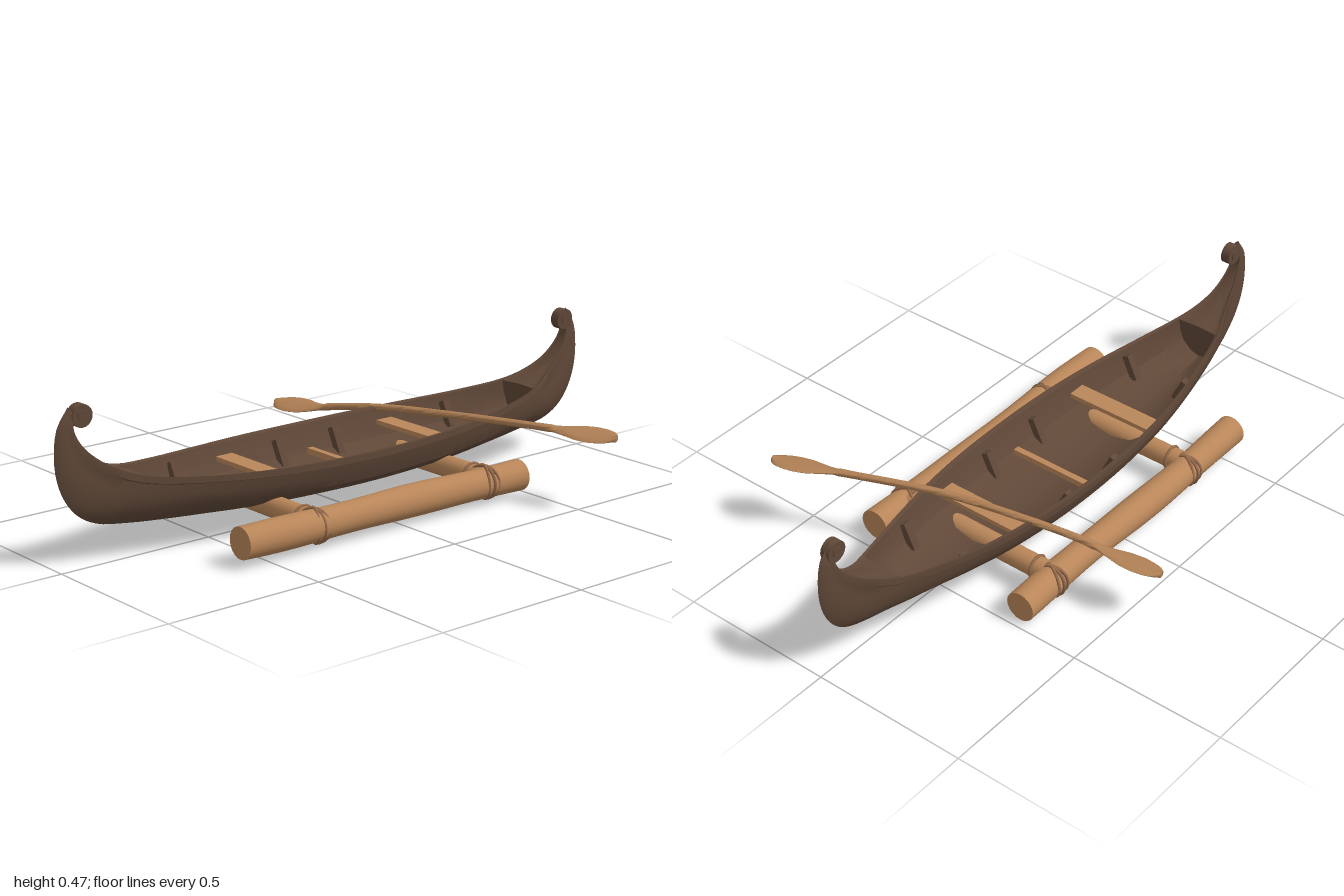
import * as THREE from 'three';
import { toCreasedNormals } from 'three/addons/utils/BufferGeometryUtils.js';

const V = (x, y, z) => new THREE.Vector3(x, y, z);
const HULL_Z = -0.017;

// Skin a list of equal-length rings (counterclockwise seen from the far end) and cap both ends
function loft(rings, crease = 0.6) {
  const n = rings[0].length, pos = [], idx = [];
  rings.forEach(r => r.forEach(p => pos.push(p.x, p.y, p.z)));
  for (let i = 0; i < rings.length - 1; i++) {
    for (let j = 0; j < n; j++) {
      const a = i * n + j, b = i * n + (j + 1) % n;
      idx.push(a, b, a + n, b, b + n, a + n);
    }
  }
  [0, rings.length - 1].forEach((r, end) => {
    const c = pos.length / 3;
    const mid = rings[r].reduce((s, p) => s.add(p), V(0, 0, 0)).divideScalar(n);
    pos.push(mid.x, mid.y, mid.z);
    for (let j = 0; j < n; j++) {
      const a = r * n + j, b = r * n + (j + 1) % n;
      if (end) idx.push(c, a, b); else idx.push(c, b, a);
    }
  });
  const g = new THREE.BufferGeometry();
  g.setAttribute('position', new THREE.Float32BufferAttribute(pos, 3));
  g.setIndex(idx);
  return toCreasedNormals(g, crease);
}

// Half-hull stations: rim x, rim y, half width, keel x, keel y
const STATIONS = [
  [0, 0.205, 0.198, 0, 0.047], [0.2, 0.207, 0.191, 0.2, 0.05],
  [0.4, 0.212, 0.166, 0.4, 0.058], [0.6, 0.224, 0.121, 0.61, 0.075],
  [0.745, 0.243, 0.078, 0.77, 0.093], [0.81, 0.266, 0.052, 0.87, 0.112],
  [0.87, 0.3, 0.032, 0.935, 0.15], [0.918, 0.345, 0.021, 0.98, 0.215],
  [0.94, 0.385, 0.016, 1, 0.3], [0.943, 0.415, 0.014, 0.99, 0.4],
  [0.932, 0.43, 0.013, 0.952, 0.459],
];
// Cross-section as (fraction of half width, fraction of height)
const INNER = [[0, 0.16], [0.4, 0.24], [0.74, 0.46], [0.86, 0.74], [0.91, 0.98]];
const DECK = [[0, 0.99], [0.3, 0.985], [0.6, 0.975], [0.8, 0.97], [0.91, 0.98]];
const OUTER = [[1, 1], [1, 0.87], [0.955, 0.85], [0.91, 0.66], [0.82, 0.43], [0.55, 0.22], [0.28, 0.09], [0, 0]];

function hullGeometry() {
  const all = [];
  for (let k = -10; k <= 10; k++) {
    const s = STATIONS[Math.abs(k)], m = Math.sign(k);
    all.push([m * s[0], s[1], s[2], m * s[3], s[4]]);
  }
  const rim = new THREE.CatmullRomCurve3(all.map(s => V(s[0], s[1], s[2])));
  const keel = new THREE.CatmullRomCurve3(all.map(s => V(s[3], s[4], 0)));
  const ring = (k, open) => {
    const t = (k + 10) / 20, r = rim.getPoint(t), q = keel.getPoint(t);
    const half = [...(open ? INNER : DECK), ...OUTER].map(([a, f]) =>
      V(q.x + (r.x - q.x) * f, q.y + (r.y - q.y) * f, r.z * a));
    const other = half.slice(1, -1).reverse().map(p => V(p.x, p.y, -p.z));
    return [...half, ...other];
  };
  const rings = [];
  for (let i = -40; i <= 40; i++) {
    const k = i / 4;
    if (k === 4) rings.push(ring(3.97, true));
    rings.push(ring(k, Math.abs(k) < 4));
    if (k === -4) rings.push(ring(-3.97, true));
  }
  return loft(rings, 0.55);
}

// Slightly crooked log lying along x
function logGeometry(x0, x1, y0, y1, z, r, phase) {
  const rings = [];
  for (let i = 0; i <= 16; i++) {
    const t = i / 16, ring = [];
    const rr = r * (1 + 0.04 * Math.sin(t * 13 + phase));
    const zc = z + 0.004 * Math.sin(t * 8 + phase);
    for (let j = 0; j < 20; j++) {
      const a = j / 20 * Math.PI * 2;
      ring.push(V(x0 + (x1 - x0) * t, y0 + (y1 - y0) * t + rr * Math.cos(a), zc + rr * Math.sin(a)));
    }
    rings.push(ring);
  }
  return loft(rings, 0.8);
}

// Double-bladed paddle: ellipses swept along a bent shaft
function paddleGeometry() {
  const path = new THREE.CatmullRomCurve3([
    V(0.572, 0.222, 0.578), V(0.53, 0.222, 0.46), V(0.487, 0.224, 0.35), V(0.38, 0.222, 0.08),
    V(0.31, 0.208, -0.16), V(0.262, 0.187, -0.32), V(0.235, 0.166, -0.43), V(0.212, 0.157, -0.585),
  ]);
  // Half widths by distance from a blade tip
  const widths = [[0, 0.012], [0.012, 0.03], [0.04, 0.044], [0.08, 0.05], [0.12, 0.045], [0.17, 0.026], [0.21, 0.015], [0.26, 0.012], [2, 0.012]];
  const widthAt = d => {
    const i = widths.findIndex(w => w[0] > d), [a, b] = [widths[i - 1], widths[i]];
    return THREE.MathUtils.lerp(a[1], b[1], (d - a[0]) / (b[0] - a[0]));
  };
  const len = path.getLength(), rings = [];
  for (let i = 0; i <= 80; i++) {
    const t = i / 80, c = path.getPointAt(t), d = path.getTangentAt(t);
    const w = widthAt(Math.min(t, 1 - t) * len);
    const thick = w > 0.016 ? 0.007 : 0.011;
    const s = V(-0.25, 1, 0).cross(d).normalize(), u = d.clone().cross(s), ring = [];
    for (let j = 0; j < 14; j++) {
      const a = j / 14 * Math.PI * 2;
      ring.push(c.clone().addScaledVector(s, w * Math.cos(a)).addScaledVector(u, thick * Math.sin(a)));
    }
    rings.push(ring);
  }
  return loft(rings, 1.2);
}

export function createModel() {
  const group = new THREE.Group();
  const mat = (name, color) => {
    const m = new THREE.MeshStandardMaterial({ color });
    m.name = name;
    return m;
  };
  const darkWood = mat('dark hull wood', 0x604838);
  const paleWood = mat('pale log wood', 0xb98659);
  const paddleWood = mat('paddle wood', 0xb08055);
  const rope = mat('lashing rope', 0x94694a);
  const add = (name, geo, material, x = 0, y = 0, z = 0) => {
    const m = new THREE.Mesh(geo, material);
    m.name = name;
    m.position.set(x, y, z);
    group.add(m);
    return m;
  };

  // Hull with scrolled stems
  add('hull', hullGeometry(), darkWood, 0, 0, HULL_Z);
  for (const [name, x, y] of [['rightScroll', -0.914, 0.431], ['leftScroll', 0.934, 0.426]]) {
    const disc = new THREE.CylinderGeometry(0.033, 0.033, 0.03, 24).rotateX(Math.PI / 2);
    add(name, disc, darkWood, x, y, HULL_Z);
    const boss = new THREE.CylinderGeometry(0.016, 0.016, 0.038, 16).rotateX(Math.PI / 2);
    add(name + 'Boss', boss, darkWood, x, y, HULL_Z);
  }

  // Short ribs against the inner walls
  for (const [x, z, y] of [[0.11, 0.14, 0.14], [0.53, 0.097, 0.16]]) {
    for (const sx of [-1, 1]) for (const sz of [-1, 1]) {
      const rib = add('rib', new THREE.BoxGeometry(0.024, 0.085, 0.024), darkWood, sx * x, y, HULL_Z + sz * z);
      rib.rotation.x = sz * 0.45;
    }
  }

  // Seats and the narrow middle thwart
  for (const x of [-0.315, 0.31]) {
    add('seat', new THREE.BoxGeometry(0.06, 0.014, 0.3), paleWood, x, 0.165, HULL_Z);
  }
  add('thwart', new THREE.BoxGeometry(0.02, 0.018, 0.27), paleWood, 0, 0.13, HULL_Z);

  // Outrigger logs
  add('frontLog', logGeometry(-0.59, 0.47, 0.068, 0.06, 0.27, 0.048, 0), paleWood);
  add('backLog', logGeometry(-0.575, 0.475, 0.056, 0.05, -0.282, 0.046, 2), paleWood);

  // Cross beams and their lashings
  for (const x of [-0.325, 0.33]) {
    add('crossBeam', new THREE.CylinderGeometry(0.034, 0.034, 0.52, 20).rotateX(Math.PI / 2), paleWood, x, 0.075, -0.005);
    for (const [y, z] of [[0.064, 0.268], [0.054, -0.28]]) {
      for (const turn of [-0.4, 0, 0.4]) {
        const loop = add('lashing', new THREE.TorusGeometry(0.051, 0.005, 8, 28), rope, x, y, z);
        loop.rotation.y = Math.PI / 2 + turn;
      }
      add('beamLashing', new THREE.TorusGeometry(0.035, 0.005, 8, 24), rope, x, 0.075, z - Math.sign(z) * 0.05);
    }
  }

  add('paddle', paddleGeometry(), paddleWood);
  return group;
}
